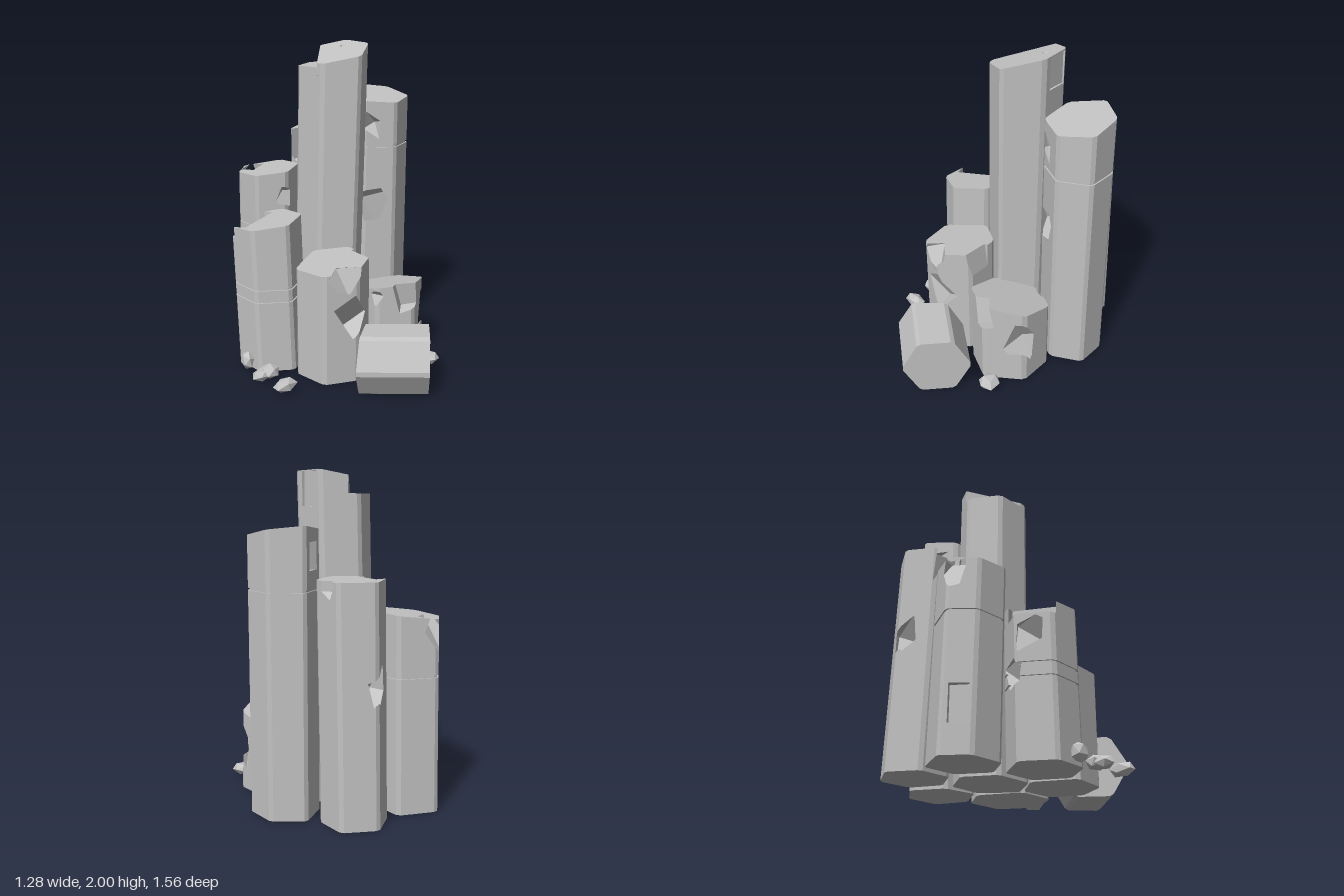
import * as THREE from 'three';

const EPS = 1e-5;
const V = (x, y, z) => new THREE.Vector3(x, y, z);

// ---- convex solids as lists of flat polygons ----
function planeOf(p) {
  return new THREE.Plane().setFromCoplanarPoints(p[0], p[1], p[2]);
}

// Splits a polygon into the parts in front of and behind a plane
function split(poly, plane) {
  const d = poly.map((p) => plane.distanceToPoint(p));
  if (d.every((v) => v <= EPS)) return [null, poly];
  if (d.every((v) => v >= -EPS)) return [poly, null];
  const front = [], back = [];
  poly.forEach((p, i) => {
    const j = (i + 1) % poly.length;
    if (d[i] >= -EPS) front.push(p);
    if (d[i] <= EPS) back.push(p);
    if ((d[i] > EPS && d[j] < -EPS) || (d[i] < -EPS && d[j] > EPS)) {
      const m = p.clone().lerp(poly[j], d[i] / (d[i] - d[j]));
      front.push(m);
      back.push(m);
    }
  });
  return [front, back];
}

function outside(polys, planes) {
  const out = [];
  for (let rest of polys) {
    for (const pl of planes) {
      const [f, b] = split(rest, pl);
      if (f) out.push(f);
      rest = b;
      if (!rest) break;
    }
  }
  return out;
}

function inside(polys, planes) {
  return planes.reduce((list, pl) => list.map((p) => split(p, pl)[1]).filter(Boolean), polys);
}

// Carves convex chips out of a convex solid
function carve(solid, chips) {
  const solidPlanes = solid.map(planeOf);
  const chipPlanes = chips.map((c) => c.map(planeOf));
  let result = chipPlanes.reduce((list, pl) => outside(list, pl), solid);
  chips.forEach((chip, i) => {
    let faces = inside(chip, solidPlanes);
    chipPlanes.forEach((pl, j) => { if (j !== i) faces = outside(faces, pl); });
    result = result.concat(faces.map((f) => [...f].reverse()));
  });
  return result;
}

function toGeometry(polys) {
  const pts = [];
  for (const p of polys) {
    for (let i = 1; i < p.length - 1; i++) pts.push(p[0], p[i], p[i + 1]);
  }
  const g = new THREE.BufferGeometry().setFromPoints(pts);
  g.computeVertexNormals();
  return g;
}

// A chip is a turned box or an eight-sided gem
function chip(kind, pos, size, rot = [0, 0, 0]) {
  let g = kind === 'box' ? new THREE.BoxGeometry(1, 1, 1) : new THREE.OctahedronGeometry(1);
  if (g.index) g = g.toNonIndexed();
  g.scale(...size);
  g.applyMatrix4(new THREE.Matrix4().makeRotationFromEuler(new THREE.Euler(...rot)));
  g.translate(...pos);
  const a = g.attributes.position, polys = [];
  for (let i = 0; i < a.count; i += 3) {
    polys.push([0, 1, 2].map((k) => V().fromBufferAttribute(a, i + k)));
  }
  return polys;
}
const box = (...a) => chip('box', ...a);
const gem = (...a) => chip('gem', ...a);

// Leaning six-sided column with bevelled corners, sloped top and joint grooves
function columnGeometry({ corners, top, lean = [0, 0], joints = [], chips = [] }) {
  const [h, sx, sz] = top;
  const cx = corners.reduce((s, c) => s + c[0], 0) / 6;
  const cz = corners.reduce((s, c) => s + c[1], 0) / 6;
  const outline = [];
  corners.forEach((c, i) => {
    for (const n of [corners[(i + 5) % 6], corners[(i + 1) % 6]]) {
      outline.push([c[0] + (n[0] - c[0]) * 0.08 - cx, c[1] + (n[1] - c[1]) * 0.08 - cz]);
    }
  });
  const ring = (y, scale, sloped) => outline.map(([x, z]) => {
    const yy = sloped ? y + sx * x + sz * z : y;
    const t = yy / h - 1;
    return V(cx + x * scale + lean[0] * t, yy, cz + z * scale + lean[1] * t);
  });
  const prism = (y0, y1, scale, sloped) => {
    const a = ring(y0, scale, false), b = ring(y1, scale, sloped);
    const sides = a.map((p, i) => {
      const j = (i + 1) % a.length;
      return [p, b[i], b[j], a[j]];
    });
    return [...sides, a, [...b].reverse()];
  };
  let polys = [], y = 0;
  for (const j of joints) {
    polys = polys.concat(carve(prism(y, j - 0.007, 1, false), chips));
    polys = polys.concat(carve(prism(j - 0.007, j + 0.007, 0.95, false), chips));
    y = j + 0.007;
  }
  return toGeometry(polys.concat(carve(prism(y, h, 1, true), chips)));
}

// Corners run clockwise seen from above; top is height, slope in x, slope in z
const columns = {
  tallColumn: {
    corners: [[-0.1, -0.365], [0.13, -0.365], [0.245, -0.19], [0.16, 0.045], [-0.075, 0.035], [-0.2, -0.17]],
    top: [1.945, 0.2, -0.18], lean: [0.045, 0.005],
    chips: [
      box([-0.22, 1.96, -0.2], [0.3, 0.2, 0.7], [0, -0.2, 0.03]),
      box([0.19, 1.89, -0.3], [0.06, 0.2, 0.14], [0, 0.54, 0]),
      gem([0.09, 1.985, -0.25], [0.03, 0.05, 0.03]),
    ],
  },
  backColumn: {
    corners: [[-0.13, -0.75], [0.09, -0.75], [0.185, -0.57], [0.08, -0.395], [-0.11, -0.395], [-0.215, -0.57]],
    top: [1.395, 0, 0], lean: [0.015, 0.035],
    chips: [
      box([-0.15, 1.33, -0.5], [0.1, 0.32, 0.18], [0.1, 0.45, 0.15]),
      gem([0.15, 1.36, -0.68], [0.08, 0.12, 0.08], [0.3, 0.4, 0.2]),
      gem([-0.14, 0.81, -0.72], [0.11, 0.14, 0.1], [0.2, 0.3, 0.3]),
    ],
  },
  backLeftColumn: {
    corners: [[0.24, -0.585], [0.45, -0.555], [0.555, -0.37], [0.435, -0.195], [0.225, -0.2], [0.135, -0.39]],
    top: [1.65, -0.07, -0.17], lean: [0, 0.01], joints: [1.33],
    chips: [
      gem([0.28, 0.94, -0.2], [0.16, 0.2, 0.11], [0.3, 0.5, 0.4]),
      gem([0.28, 1.47, -0.2], [0.08, 0.1, 0.07], [0.2, -0.4, 0.5]),
      box([0.17, 1.52, -0.51], [0.1, 0.16, 0.12], [0, 0.5, 0]),
    ],
  },
  backRightColumn: {
    corners: [[-0.53, -0.55], [-0.285, -0.575], [-0.18, -0.395], [-0.275, -0.195], [-0.475, -0.2], [-0.58, -0.38]],
    top: [1.17, 0.11, 0], lean: [0.01, 0.02], joints: [0.82],
    chips: [
      box([-0.51, 1.1, -0.51], [0.08, 0.26, 0.14], [0.3, -0.6, -0.4]),
      box([-0.575, 0.28, -0.48], [0.09, 0.22, 0.11], [0, -0.4, 0]),
      gem([-0.28, 1.02, -0.2], [0.09, 0.1, 0.08], [0.3, 0.3, 0.4]),
    ],
  },
  rightColumn: {
    corners: [[-0.56, -0.175], [-0.31, -0.175], [-0.205, 0.01], [-0.31, 0.205], [-0.53, 0.2], [-0.65, 0.02]],
    top: [0.93, 0.13, 0], lean: [-0.025, -0.025], joints: [0.46, 0.54],
    chips: [
      box([-0.55, 0.93, -0.08], [0.2, 0.2, 0.3], [0, -0.67, 0]),
      gem([-0.6, 0.72, -0.1], [0.12, 0.14, 0.11], [0.3, 0.5, 0.4]),
      gem([-0.47, 0.5, -0.17], [0.15, 0.14, 0.1], [0.4, 0.2, 0.5]),
      gem([-0.22, 0.43, 0.08], [0.07, 0.07, 0.07], [0.3, 0.2, 0]),
    ],
  },
  frontColumn: {
    corners: [[-0.14, 0.035], [0.08, 0.06], [0.185, 0.25], [0.085, 0.43], [-0.13, 0.46], [-0.28, 0.275]],
    top: [0.72, 0.11, -0.06],
    chips: [
      gem([0, 0.69, 0.45], [0.15, 0.15, 0.11], [0.2, 0.4, 0.2]),
      box([0.05, 0.44, 0.46], [0.16, 0.26, 0.14], [0.5, 0.4, 0.4]),
      box([0.18, 0.65, 0.19], [0.07, 0.22, 0.2], [0, 0.5, 0.15]),
    ],
  },
  leftColumn: {
    corners: [[0.24, -0.185], [0.46, -0.175], [0.58, 0.03], [0.465, 0.265], [0.225, 0.265], [0.1, 0.06]],
    top: [0.485, 0.08, 0.24], lean: [-0.01, 0],
    chips: [
      box([0.41, 0.49, 0.27], [0.13, 0.24, 0.14], [0.2, -0.3, 0.3]),
      gem([0.565, 0.29, 0.03], [0.07, 0.18, 0.17], [0.4, -0.2, 0]),
      box([0.29, 0.45, -0.185], [0.1, 0.1, 0.05], [0, 0, 0.2]),
      gem([0.22, 0.47, 0.27], [0.06, 0.07, 0.06], [0.2, 0.3, 0]),
    ],
  },
};

export function createModel() {
  const stone = new THREE.MeshStandardMaterial({ color: 0xc2c2c2 });
  stone.name = 'grey stone';
  const model = new THREE.Group();
  model.name = 'rockColumns';
  const add = (name, geometry) => {
    const mesh = new THREE.Mesh(geometry, stone);
    mesh.name = name;
    model.add(mesh);
    return mesh;
  };

  // Standing columns
  for (const [name, spec] of Object.entries(columns)) add(name, columnGeometry(spec));

  // Fallen piece lying on its side, broken off at a slant
  const fallen = add('fallenColumn', columnGeometry({
    corners: [[-0.185, -0.11], [0, -0.22], [0.185, -0.11], [0.185, 0.11], [0, 0.22], [-0.185, 0.11]],
    top: [0.387, 0, 0.14], lean: [0, -0.08],
  }));
  fallen.rotation.set(0, -0.37, -Math.PI / 2);
  fallen.position.set(0.125, 0.185, 0.43);

  // Loose rubble: position, half sizes, turn
  const rubble = [
    [[-0.58, 0.06, 0.175], [0.04, 0.06, 0.06], 0.4],
    [[-0.5, 0.04, 0.34], [0.07, 0.04, 0.05], 0.6],
    [[-0.45, 0.05, 0.32], [0.065, 0.045, 0.065], 1.4],
    [[-0.37, 0.045, 0.5], [0.085, 0.045, 0.05], 0.5],
    [[0.57, 0.04, 0.26], [0.07, 0.04, 0.075], 0.9],
  ];
  rubble.forEach(([pos, size, turn], i) => {
    const g = new THREE.IcosahedronGeometry(1, 0).rotateZ(0.3 + i).scale(...size);
    g.computeVertexNormals();
    const rock = add('rubble' + (i + 1), g);
    rock.position.set(...pos);
    rock.rotation.y = turn;
  });
  return model;
}
